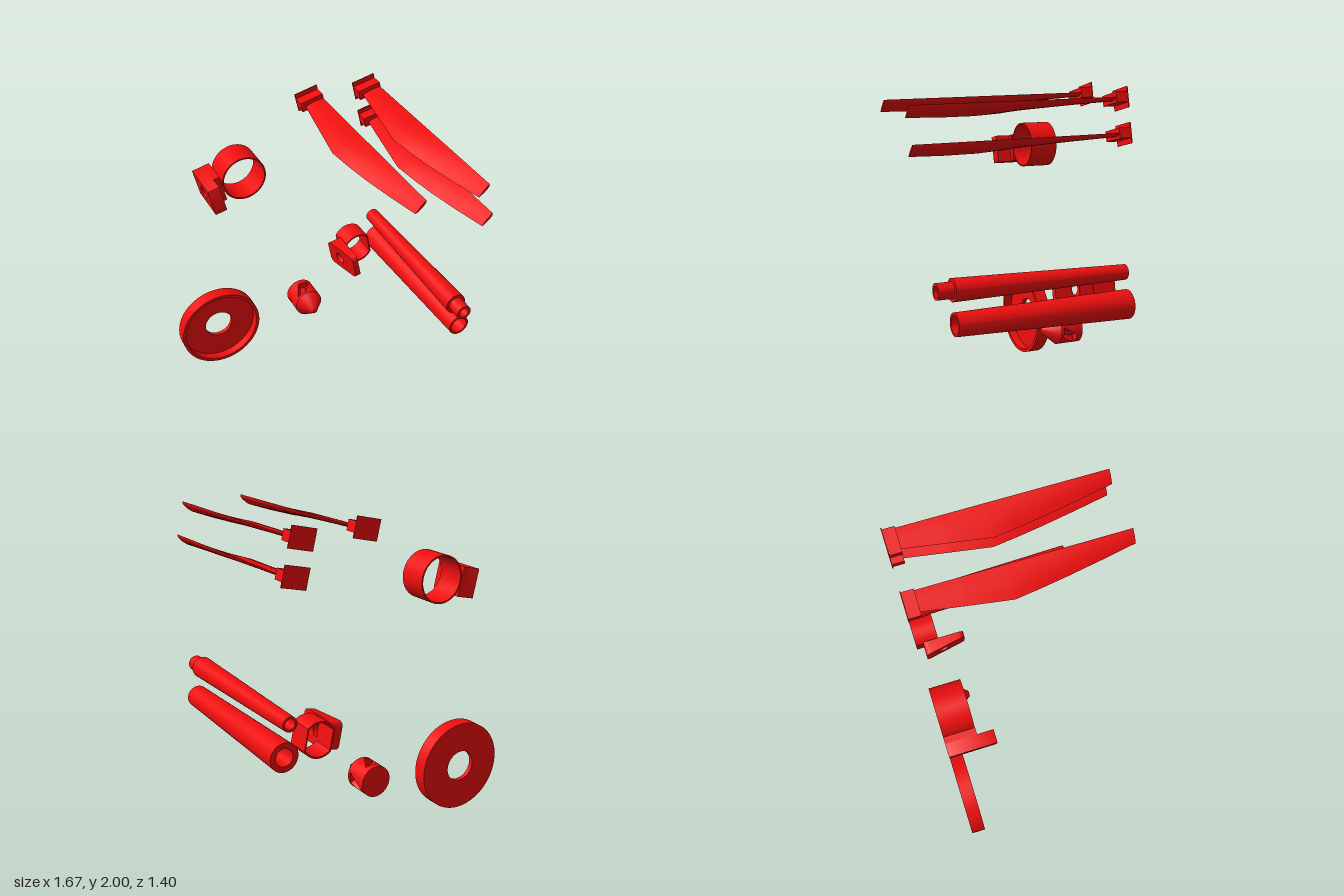
import * as THREE from 'three';
import { toCreasedNormals } from 'three/addons/utils/BufferGeometryUtils.js';

const BACK = -0.7; // every piece stands on this plane
const TILT = 0.23;

export function createModel() {
  const model = new THREE.Group();
  const material = new THREE.MeshStandardMaterial({ color: 0xee0e0e });

  function add(parent, name, geometry, x = 0, y = 0, z = 0, tilt = 0) {
    const mesh = new THREE.Mesh(toCreasedNormals(geometry, 0.6), material);
    mesh.name = name;
    mesh.position.set(x, y, z);
    mesh.rotation.z = tilt;
    parent.add(mesh);
    return mesh;
  }

  // Turned piece: profile of [radius, height], axis along z
  const turned = (profile, segments = 48) =>
    new THREE.LatheGeometry(profile.map(p => new THREE.Vector2(...p)), segments).rotateX(Math.PI / 2);

  const extrude = (shape, depth) =>
    new THREE.ExtrudeGeometry(shape, { depth, bevelEnabled: false, curveSegments: 24 });

  // Skin over rings of [x, y, z], counter-clockwise, with z rising; optional capped ends
  function loft(rings) {
    const n = rings[0].length, index = [];
    const points = rings.flat();
    for (let i = 0; i < rings.length - 1; i++)
      for (let j = 0; j < n; j++) {
        const a = i * n + j, b = i * n + (j + 1) % n;
        index.push(a, b, b + n, a, b + n, a + n);
      }
    [0, rings.length - 1].forEach((r, end) => {
      const c = [0, 1, 2].map(k => rings[r].reduce((s, p) => s + p[k], 0) / n);
      points.push(c);
      for (let j = 0; j < n; j++) {
        const a = r * n + j, b = r * n + (j + 1) % n;
        index.push(points.length - 1, ...(end ? [a, b] : [b, a]));
      }
    });
    const g = new THREE.BufferGeometry();
    g.setAttribute('position', new THREE.Float32BufferAttribute(points.flat(), 3));
    g.setIndex(index);
    return g;
  }

  // Base disc: shallow cup with a central hole
  add(model, 'baseDisc', turned([[0.1, 0], [0.29, 0], [0.29, 0.09], [0.268, 0.09],
    [0.268, 0.03], [0.1, 0.03], [0.1, 0]], 64), -0.55, 0.295, BACK);

  // Mast sections: tapered tubes, the narrow one with a plug at its end
  add(model, 'upperMast', turned([[0.033, 0], [0.048, 0], [0.07, 1.16], [0.05, 1.16],
    [0.05, 1.26], [0.033, 1.26], [0.033, 0]]), 0.7, 0.855, BACK);
  add(model, 'lowerMast', turned([[0.056, 0], [0.092, 0], [0.071, 1.16], [0.056, 1.16],
    [0.056, 0]]), 0.74, 0.66, BACK);

  // Hub: pointed nose with three slanted blade slots
  function hubRing(z, radius, slotRadius = radius) {
    const ring = [], half = 0.38;
    for (const degrees of [100, 220, 340]) {
      const start = degrees * Math.PI / 180 + 6 * (z - 0.09);
      const put = (a, r) => ring.push([r * Math.cos(start + a), r * Math.sin(start + a), z]);
      put(-half, radius);
      for (let i = 0; i <= 6; i++) put(-half + i * half / 3, slotRadius);
      const span = 2 * Math.PI / 3 - 2 * half;
      for (let i = 0; i < 12; i++) put(half + i * span / 12, radius);
    }
    return ring;
  }
  const hubRings = [hubRing(0, 0.1), hubRing(0.04, 0.1)];
  for (let i = 0; i <= 8; i++) hubRings.push(hubRing(0.04 + i * 0.0125, 0.1, 0.055));
  hubRings.push(hubRing(0.14, 0.1), hubRing(0.16, 0.1), hubRing(0.255, 0.025), hubRing(0.262, 0.015));
  add(model, 'hub', loft(hubRings), 0.105, 0.35, BACK);

  // Blades: twisted section, widest a third of the way out
  // stations: z, trailing edge x and y
  const stations = [[-0.625, -0.05, -0.015], [-0.35, -0.088, -0.035], [-0.08, -0.123, -0.058],
    [0.08, -0.096, -0.073], [0.25, -0.067, -0.081], [0.48, -0.028, -0.08], [0.7, 0.01, -0.073]];
  const bladeRings = stations.map(([z, tx, ty]) => {
    const lx = 0.075, ly = 0.018 - 0.018 * (z + 0.62) / 1.32;
    const dx = lx - tx, dy = ly - ty, ring = [];
    const put = (t, h) => ring.push([tx + dx * t - dy * h, ty + dy * t + dx * h, z]);
    // belly from trailing to leading edge, then the flatter upper side
    for (let i = 0; i < 10; i++) {
      const t = i / 10;
      put(t, -0.3 * t * Math.sqrt(1 - t));
    }
    for (let i = 0; i < 10; i++) {
      const t = 1 - i / 10;
      put(t, 0.05 * Math.sin(Math.PI * t));
    }
    return ring;
  });
  [[0.19, 1.92], [0.608, 1.912], [0.653, 1.7]].forEach(([x, y], i) => {
    const blade = new THREE.Group();
    blade.name = 'blade' + (i + 1);
    blade.position.set(x, y, 0);
    add(blade, 'bladeSurface', loft(bladeRings));
    add(blade, 'bladeNeck', new THREE.BoxGeometry(0.16, 0.065, 0.08), 0, 0, BACK + 0.042, TILT);
    add(blade, 'bladeRootPlate', new THREE.BoxGeometry(0.163, 0.128, 0.006), 0, 0, BACK + 0.003, TILT);
    model.add(blade);
  });

  // Plate in the z-y plane with a round hole, thickness along x
  function holedPlate(z0, z1, height, corner, hole, holeZ, depth) {
    const a = -z1, b = -z0, h = height / 2, r = corner;
    const s = new THREE.Shape();
    s.moveTo(a + r, -h).lineTo(b - r, -h).quadraticCurveTo(b, -h, b, -h + r)
      .lineTo(b, h - r).quadraticCurveTo(b, h, b - r, h)
      .lineTo(a + r, h).quadraticCurveTo(a, h, a, h - r)
      .lineTo(a, -h + r).quadraticCurveTo(a, -h, a + r, -h);
    s.holes.push(new THREE.Path().absarc(-holeZ, 0, hole, 0, Math.PI * 2, true));
    return extrude(s, depth).rotateY(Math.PI / 2);
  }

  // Large clamp: thin ring with a stepped block holding a socket
  const largeClamp = new THREE.Group();
  largeClamp.name = 'largeClamp';
  add(largeClamp, 'largeClampRing', turned([[0.14, 0], [0.15, 0], [0.15, 0.19], [0.14, 0.19], [0.14, 0]]),
    -0.35, 1.555, BACK);
  const block = new THREE.Group();
  block.name = 'largeClampBlock';
  block.position.set(-0.555, 1.508, 0);
  block.rotation.z = TILT;
  add(block, 'socketSlab', holedPlate(BACK, -0.412, 0.185, 0.001, 0.045, -0.555, 0.08), -0.06);
  add(block, 'joiningSlab', new THREE.BoxGeometry(0.04, 0.185, 0.19), 0.04, 0, BACK + 0.095);
  largeClamp.add(block);
  model.add(largeClamp);

  // Small clamp: ring with flattened sides and a rounded wedge
  const smallClamp = new THREE.Group();
  smallClamp.name = 'smallClamp';
  const flatRing = (path, r, flat) => {
    const f = Math.acos(flat / r);
    return path.absarc(0, 0, r, f, Math.PI - f).absarc(0, 0, r, Math.PI + f, 2 * Math.PI - f).closePath();
  };
  const ringShape = flatRing(new THREE.Shape(), 0.115, 0.092);
  ringShape.holes.push(flatRing(new THREE.Path(), 0.104, 0.083));
  add(smallClamp, 'smallClampRing', extrude(ringShape, 0.157), 0.505, 0.715, BACK, 0.19);
  const wedge = holedPlate(-0.65, -0.367, 0.185, 0.04, 0.042, -0.53, 0.095).translate(-0.05, 0, 0);
  const p = wedge.attributes.position;
  // slant the outer face inwards towards the front
  for (let i = 0; i < p.count; i++)
    if (p.getX(i) < 0) p.setX(i, -0.05 + 0.055 * (p.getZ(i) + 0.65) / 0.283);
  add(smallClamp, 'smallClampWedge', wedge, 0.378, 0.69, 0, 0.2);
  model.add(smallClamp);

  return model;
}
